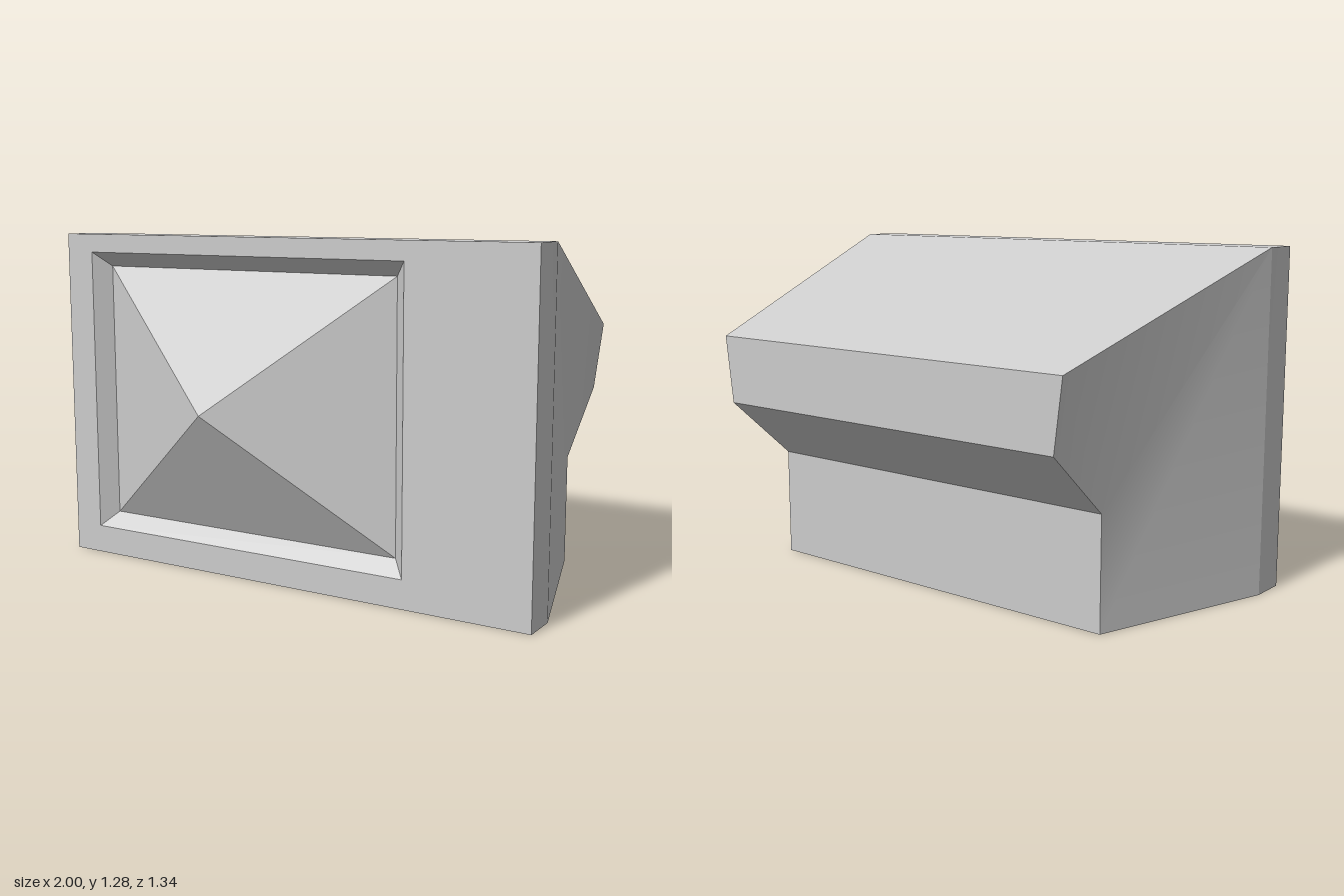
import * as THREE from 'three';
import { toCreasedNormals } from 'three/addons/utils/BufferGeometryUtils.js';

const CREASE = 0.245;

function makeMesh(name, points) {
  const geometry = new THREE.BufferGeometry();
  geometry.setAttribute('position', new THREE.Float32BufferAttribute(points.flat(), 3));
  const material = new THREE.MeshStandardMaterial({ color: 0xcccccc });
  const mesh = new THREE.Mesh(toCreasedNormals(geometry, CREASE), material);
  mesh.name = name;
  return mesh;
}

const quad = (a, b, c, d) => [a, b, c, a, c, d];

// Rectangle corners, anticlockwise as seen from the front
const rect = (x0, x1, y0, y1, z) => [[x0, y0, z], [x1, y0, z], [x1, y1, z], [x0, y1, z]];

// Joins two four-cornered rings, outer to inner
const joinRings = (a, b) => a.flatMap((p, i) => {
  const j = (i + 1) % 4;
  return quad(p, a[j], b[j], b[i]);
});

// Tapered casing: half width, height and depth along the side outline
function casing() {
  const left = [
    [1, 1.28, 0.455], [1, 1.28, 0.315],
    [0.813, 0.92, -0.67], [0.78, 0.66, -0.67],
    [0.78, 0.42, -0.40], [0.78, 0, -0.40],
    [1, 0, 0.315], [1, 0, 0.455],
  ];
  const right = left.map(([x, y, z]) => [-x, y, z]);
  const tris = [];

  // Top, back, step and bottom
  for (let i = 0; i < left.length - 1; i++) {
    tris.push(...quad(left[i], left[i + 1], right[i + 1], right[i]));
  }

  // Both sides
  const side = [[0, 1, 6], [0, 6, 7], [1, 2, 4], [2, 3, 4], [1, 4, 5], [1, 5, 6]];
  for (const [a, b, c] of side) {
    tris.push(left[a], left[c], left[b], right[a], right[b], right[c]);
  }
  return makeMesh('casing', tris);
}

export function createModel() {
  const model = new THREE.Group();
  model.name = 'television';

  const front = rect(-1, 1, 0, 1.28, 0.455);
  const opening = rect(-0.878, 0.513, 0.108, 1.21, 0.455);
  const screenEdge = rect(-0.822, 0.458, 0.163, 1.155, 0.40);
  const apex = [-0.197, 0.652, 0.67];

  model.add(casing());
  model.add(makeMesh('frontPanel', joinRings(front, opening)));
  model.add(makeMesh('screenBezel', joinRings(opening, screenEdge)));

  // Bulging screen of four facets
  const facets = screenEdge.flatMap((p, i) => [p, screenEdge[(i + 1) % 4], apex]);
  model.add(makeMesh('screen', facets));

  return model;
}
